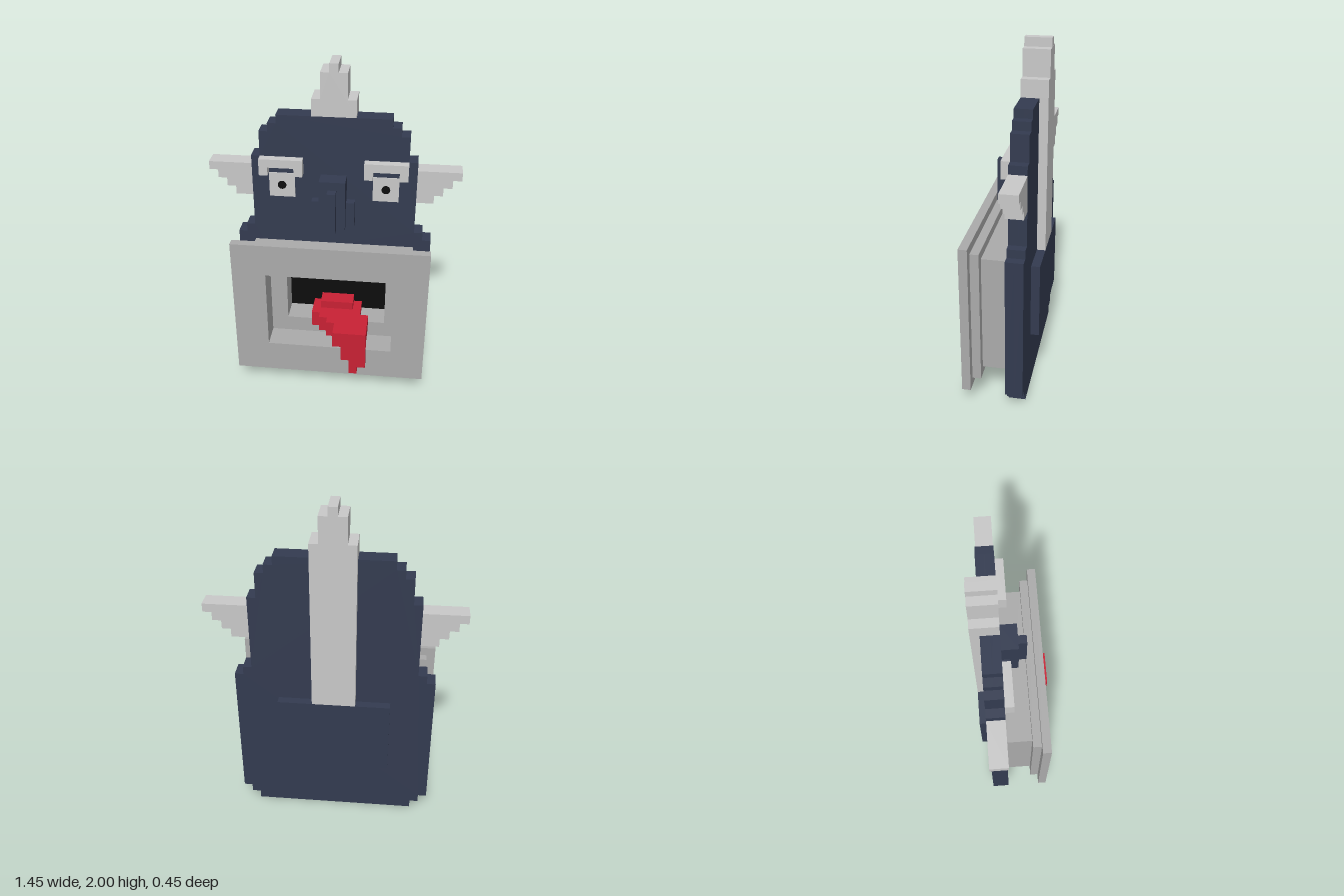
import * as THREE from 'three';

const material = (name, color) => Object.assign(new THREE.MeshStandardMaterial({ color }), { name });

export function createModel() {
  const navy = material('navy', 0x333b50);
  const pale = material('paleGrey', 0xc8c8c8);
  const grey = material('midGrey', 0xaaaaaa);
  const black = material('black', 0x0c0c0c);
  const red = material('red', 0xc82134);

  const model = new THREE.Group();
  model.name = 'blockFigure';

  const group = (name) => {
    const g = new THREE.Group();
    g.name = name;
    model.add(g);
    return g;
  };

  // Box given by its limits on each axis
  const box = (parent, name, mat, x0, x1, y0, y1, z0, z1) => {
    const mesh = new THREE.Mesh(new THREE.BoxGeometry(x1 - x0, y1 - y0, z1 - z0), mat);
    mesh.position.set((x0 + x1) / 2, (y0 + y1) / 2, (z0 + z1) / 2);
    mesh.name = name;
    parent.add(mesh);
  };

  const rect = (Type, x0, x1, y0, y1) =>
    new Type([[x0, y0], [x1, y0], [x1, y1], [x0, y1]].map(([x, y]) => new THREE.Vector2(x, y)));

  const slab = (parent, name, mat, shape, z0, z1) => {
    const geometry = new THREE.ExtrudeGeometry(shape, { depth: z1 - z0, bevelEnabled: false });
    geometry.translate(0, 0, z0);
    const mesh = new THREE.Mesh(geometry, mat);
    mesh.name = name;
    parent.add(mesh);
  };

  // Symmetric stepped outline from rows of [half width, bottom, top]
  const stepped = (rows) => {
    const right = rows.flatMap(([w, y0, y1]) => [[w, y0], [w, y1]]);
    const left = right.map(([x, y]) => [-x, y]).reverse();
    return new THREE.Shape([...right, ...left].map(([x, y]) => new THREE.Vector2(x, y)));
  };

  // Body and head: one stepped silhouette, hollowed at the front for the mouth
  const body = group('body');
  const bodyRows = [
    [0.475, 0, 0.05], [0.525, 0.05, 0.1], [0.575, 0.1, 0.95], [0.525, 0.95, 1],
    [0.475, 1, 1.45], [0.425, 1.45, 1.6], [0.375, 1.6, 1.65], [0.325, 1.65, 1.7],
  ];
  const bodyFront = stepped(bodyRows);
  bodyFront.holes.push(rect(THREE.Path, -0.375, 0.375, 0.3, 0.8));
  slab(body, 'bodyBack', navy, stepped(bodyRows), -0.175, -0.125);
  slab(body, 'bodyFront', navy, bodyFront, -0.125, -0.075);
  box(body, 'backPlate', navy, -0.325, 0.325, 0.35, 0.8, -0.225, -0.175);

  // Mouth: three frames widening toward the front, an inner lip and a dark throat
  const mouth = group('mouth');
  [
    [0.475, 0.2, 0.9, -0.075, 0.075],
    [0.525, 0.15, 0.95, 0.075, 0.125],
    [0.575, 0.1, 1, 0.125, 0.175],
  ].forEach(([w, y0, y1, z0, z1], i) => {
    const frame = rect(THREE.Shape, -w, w, y0, y1);
    frame.holes.push(rect(THREE.Path, -0.375, 0.375, 0.3, 0.8));
    slab(mouth, `mouthFrame${i + 1}`, grey, frame, z0, z1);
  });
  const lip = rect(THREE.Shape, -0.375, 0.375, 0.3, 0.8);
  lip.holes.push(rect(THREE.Path, -0.275, 0.325, 0.4, 0.75));
  slab(mouth, 'innerLip', grey, lip, -0.125, 0.025);
  box(mouth, 'throat', black, -0.275, 0.325, 0.4, 0.75, -0.125, -0.12);

  // Tongue: stepped diagonally forward, then hanging over the frame
  const tongue = group('tongue');
  [
    [-0.125, -0.075, 0.35, 0.45, -0.12, 0.028],
    [-0.075, -0.025, 0.35, 0.45, -0.12, 0.075],
    [-0.025, 0.025, 0.35, 0.45, -0.12, 0.125],
    [0.025, 0.175, 0.35, 0.45, -0.12, 0.225],
    [0.175, 0.225, 0.35, 0.45, 0.025, 0.225],
    [-0.075, 0.125, 0.45, 0.5, -0.12, -0.025],
    [0.075, 0.225, 0.25, 0.35, 0.175, 0.225],
    [0.125, 0.225, 0.2, 0.25, 0.175, 0.225],
    [0.125, 0.175, 0.15, 0.2, 0.175, 0.225],
  ].forEach((limits) => box(tongue, 'tongueBlock', red, ...limits));

  // Crest rising over the head and running down the back
  const crest = group('crest');
  slab(crest, 'crestTop', pale,
    stepped([[0.125, 1.7, 1.8], [0.075, 1.8, 1.95], [0.025, 1.95, 2]]), -0.225, -0.075);
  box(crest, 'crestBack', pale, -0.125, 0.125, 0.8, 1.7, -0.225, -0.175);

  // Nose with bridge and nostrils
  const nose = group('nose');
  box(nose, 'noseBase', navy, -0.075, 0.075, 1.05, 1.35, -0.075, 0.025);
  box(nose, 'noseBridge', navy, -0.025, 0.025, 1.05, 1.3, 0.025, 0.075);

  for (const side of [-1, 1]) {
    const label = side > 0 ? 'left' : 'right';
    const sideBox = (parent, name, mat, a, b, ...rest) =>
      box(parent, name, mat, Math.min(side * a, side * b), Math.max(side * a, side * b), ...rest);

    sideBox(nose, `${label}Nostril`, navy, 0.075, 0.125, 1.05, 1.2, -0.075, -0.025);

    // Ear: rows getting longer toward the top
    const ear = group(`${label}Ear`);
    for (let i = 0; i < 4; i++) {
      sideBox(ear, 'earStep', pale, 0.475, 0.575 + i * 0.05, 1.2 + i * 0.05, 1.25 + i * 0.05, -0.175, -0.075);
    }

    // Eye under a bracket-shaped brow
    const eye = group(`${label}Eye`);
    sideBox(eye, 'browBar', pale, 0.175, 0.425, 1.4, 1.45, -0.075, -0.025);
    sideBox(eye, 'browInnerEnd', pale, 0.175, 0.225, 1.35, 1.4, -0.075, -0.025);
    sideBox(eye, 'browOuterEnd', pale, 0.375, 0.425, 1.35, 1.4, -0.075, -0.025);
    sideBox(eye, 'eyeWhite', pale, 0.225, 0.375, 1.2, 1.35, -0.075, -0.069);
    const pupil = new THREE.Mesh(new THREE.CylinderGeometry(0.025, 0.025, 0.004, 20), black);
    pupil.rotation.x = Math.PI / 2;
    pupil.position.set(side * 0.3, 1.275, -0.067);
    pupil.name = 'pupil';
    eye.add(pupil);
  }

  return model;
}
